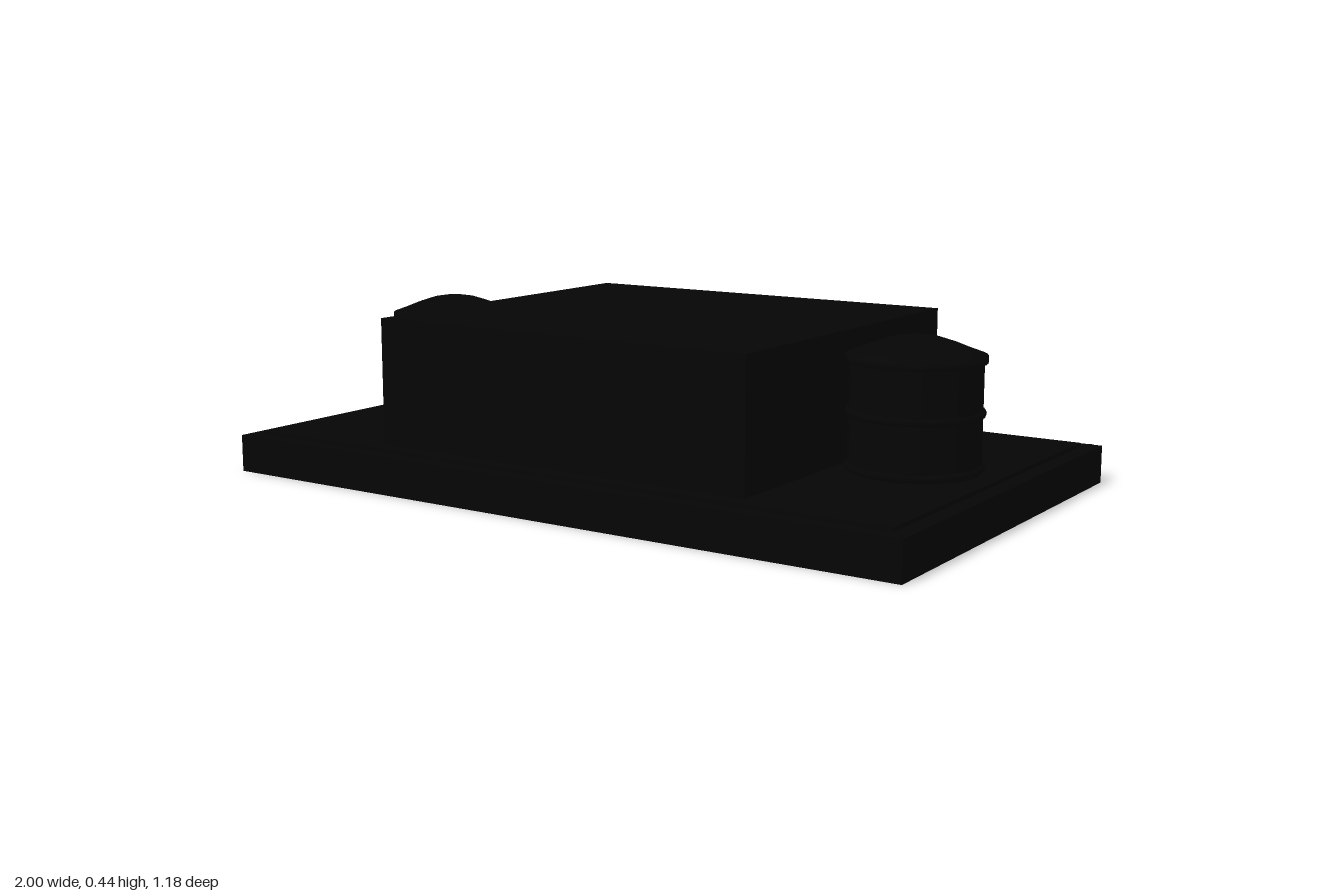
import * as THREE from 'three';

export function createModel() {
  const model = new THREE.Group();
  const black = new THREE.MeshStandardMaterial({ color: 0x050505, side: THREE.DoubleSide });
  black.name = 'black';

  const add = (name, geometry, x, y, z, parent = model) => {
    const mesh = new THREE.Mesh(geometry, black);
    mesh.name = name;
    mesh.position.set(x, y, z);
    parent.add(mesh);
    return mesh;
  };
  // Box without its underside
  const openBox = (w, h, d) => {
    const g = new THREE.BoxGeometry(w, h, d);
    const index = Array.from(g.index.array);
    index.splice(18, 6);
    g.setIndex(index);
    g.clearGroups();
    return g;
  };

  // Hollow base tray, deck plate and main housing
  add('base', openBox(2, 0.1, 1.176), 0, 0.05, 0);
  add('deckPlate', openBox(1.914, 0.01, 1.09), 0, 0.105, 0);
  add('housing', openBox(1.11, 0.335, 1), 0, 0.2775, 0);

  // Rivets around the base rim
  const rivet = new THREE.SphereGeometry(0.012, 10, 4, 0, Math.PI * 2, 0, Math.PI / 2);
  rivet.scale(1, 0.4, 1);
  for (const s of [-1, 1]) {
    for (let i = -3; i <= 3; i++) add('longSideRivet', rivet, i * 0.326, 0.1, s * 0.566);
    for (let i = -2; i <= 2; i++) add('shortSideRivet', rivet, s * 0.978, 0.1, i * 0.23);
  }

  // Flush round covers on both long faces, and a small plate on the back
  const cover = new THREE.CylinderGeometry(0.042, 0.042, 0.004, 32);
  cover.rotateX(Math.PI / 2);
  for (const z of [-0.5, 0.5]) {
    for (const x of [-0.265, 0.265]) add('roundCover', cover, x, 0.27, z);
  }
  add('backPlate', new THREE.BoxGeometry(0.16, 0.05, 0.004), 0, 0.365, -0.5);

  // Banded tanks with domed lids
  const lid = new THREE.LatheGeometry([
    [0.164, 0.38], [0.173, 0.382], [0.173, 0.398], [0.14, 0.41],
    [0.1, 0.426], [0.06, 0.439], [0.03, 0.444], [0, 0.445],
  ].map(([r, y]) => new THREE.Vector2(r, y)), 40);
  const wall = new THREE.CylinderGeometry(0.164, 0.164, 0.275, 40, 1, true);
  const band = new THREE.TorusGeometry(0.162, 0.01, 8, 40);
  band.rotateX(Math.PI / 2);
  for (const s of [-1, 1]) {
    const tank = new THREE.Group();
    tank.name = s < 0 ? 'rightTank' : 'leftTank';
    tank.position.x = s * 0.7375;
    add('tankWall', wall, 0, 0.2475, 0, tank);
    add('tankLid', lid, 0, 0, 0, tank);
    for (const y of [0.122, 0.257]) add('tankBand', band, 0, y, 0, tank);
    model.add(tank);
  }
  return model;
}
